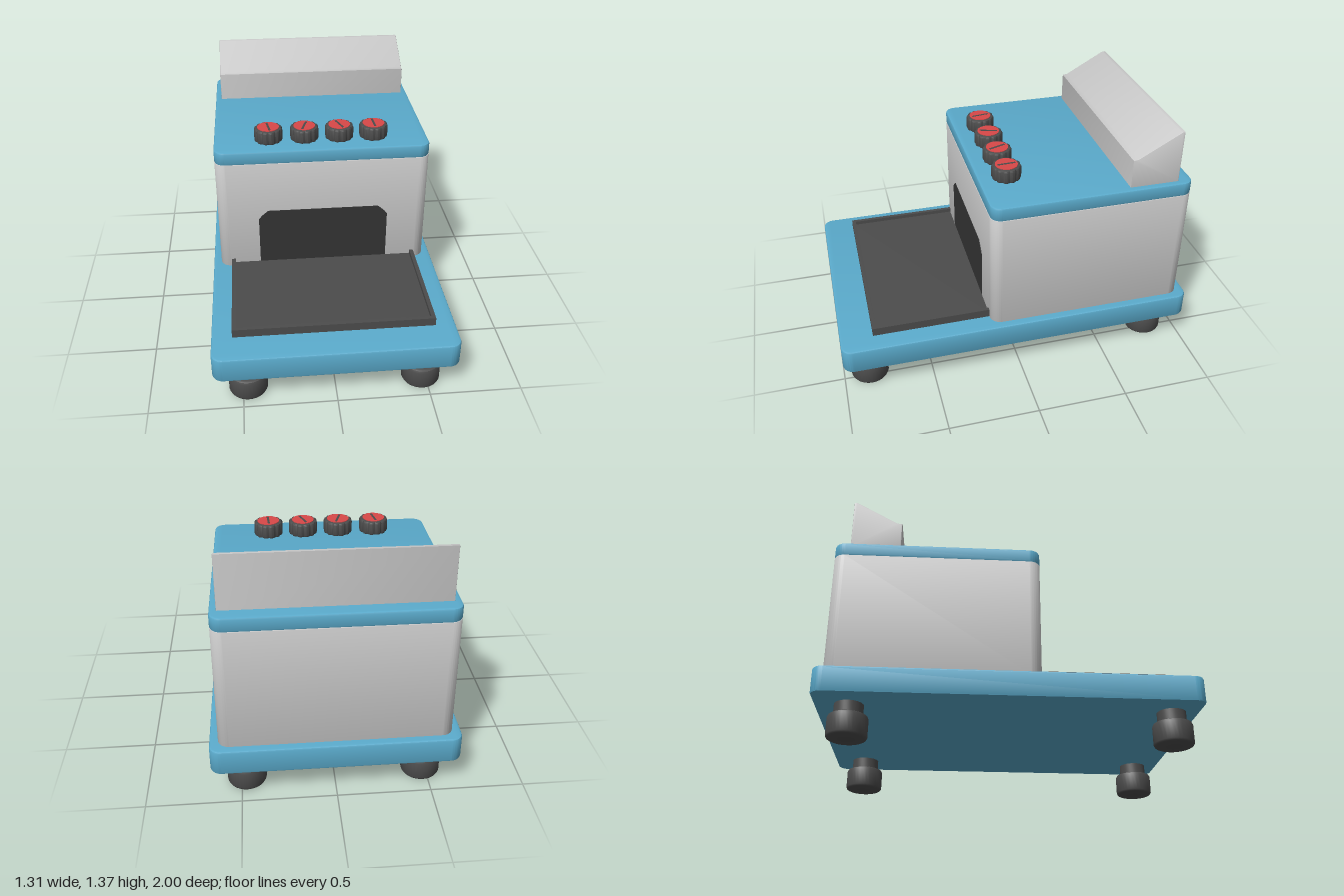
import * as THREE from 'three';
import { toCreasedNormals } from 'three/addons/utils/BufferGeometryUtils.js';

const mat = (name, color) => {
  const m = new THREE.MeshStandardMaterial({ color });
  m.name = name;
  return m;
};

// Rectangle with rounded corners, centred on the origin
function roundedRect(w, d, r) {
  const s = new THREE.Shape();
  const x = w / 2 - r, y = d / 2 - r;
  s.absarc(x, y, r, 0, Math.PI / 2);
  s.absarc(-x, y, r, Math.PI / 2, Math.PI);
  s.absarc(-x, -y, r, Math.PI, Math.PI * 1.5);
  s.absarc(x, -y, r, Math.PI * 1.5, Math.PI * 2);
  s.closePath();
  return s;
}

// Extrude with a small inward bevel, keeping the outline's outer size
function bevelled(shape, depth, bevel) {
  const geo = new THREE.ExtrudeGeometry(shape, {
    depth: depth - 2 * bevel, bevelEnabled: true, bevelThickness: bevel,
    bevelSize: bevel, bevelOffset: -bevel, bevelSegments: 2, curveSegments: 8,
  });
  return toCreasedNormals(geo.translate(0, 0, bevel), 0.6);
}

// Upright slab from y0 to y1
function slab(shape, y0, y1, bevel) {
  return bevelled(shape, y1 - y0, bevel).rotateX(-Math.PI / 2).translate(0, y0, 0);
}

export function createModel() {
  const model = new THREE.Group();
  const blue = mat('blue enamel', 0x5aaacb);
  const grey = mat('light grey', 0xcacaca);
  const dark = mat('dark rubber', 0x4c4c4c);
  const black = mat('opening black', 0x343434);
  const red = mat('red cap', 0xd84848);

  const add = (name, geo, material, x = 0, y = 0, z = 0, parent = model) => {
    const mesh = new THREE.Mesh(geo, material);
    mesh.name = name;
    mesh.position.set(x, y, z);
    parent.add(mesh);
    return mesh;
  };

  // Base, body and lid
  add('base', slab(roundedRect(1.31, 2, 0.06), 0.185, 0.325, 0.01), blue);
  add('body', slab(roundedRect(1.22, 1.12, 0.06), 0.32, 1.0, 0.002), grey, 0, 0, -0.395);
  add('lid', slab(roundedRect(1.22, 1.12, 0.06), 0.998, 1.075, 0.01), blue, 0, 0, -0.395);

  // Sloped console at the back of the lid
  const side = new THREE.Shape([
    [-0.875, 1.07], [-0.6, 1.07], [-0.6, 1.237], [-0.628, 1.24], [-0.858, 1.368], [-0.875, 1.368],
  ].map(([z, y]) => new THREE.Vector2(z, y)));
  add('console', bevelled(side, 1.15, 0.006).rotateY(-Math.PI / 2), grey, 0.575);

  // Opening in the front wall, a thin plate with cut corners
  const door = new THREE.Shape([
    [-0.375, 0.325], [0.375, 0.325], [0.375, 0.64], [0.357, 0.663], [0.32, 0.695],
    [-0.32, 0.695], [-0.357, 0.663], [-0.375, 0.64],
  ].map(([x, y]) => new THREE.Vector2(x, y)));
  add('opening', new THREE.ExtrudeGeometry(door, { depth: 0.006, bevelEnabled: false }), black, 0, 0, 0.162);

  // Tray with a raised rim on three sides
  const tray = new THREE.Group();
  tray.name = 'tray';
  model.add(tray);
  add('trayFloor', new THREE.BoxGeometry(1.08, 0.025, 0.65), dark, 0, 0.3375, 0.493, tray);
  for (const s of [-1, 1]) {
    add('traySideRim', new THREE.BoxGeometry(0.022, 0.047, 0.655), dark, s * 0.534, 0.3485, 0.4925, tray);
  }
  add('trayFrontRim', new THREE.BoxGeometry(1.046, 0.047, 0.022), dark, 0, 0.3485, 0.809, tray);

  // Stepped round feet
  const footProfile = [
    [0, 0], [0.09, 0], [0.1, 0.005], [0.105, 0.015], [0.105, 0.108], [0.1, 0.12],
    [0.09, 0.125], [0.076, 0.125], [0.076, 0.19],
  ].map(([r, y]) => new THREE.Vector2(r, y));
  const footGeo = toCreasedNormals(new THREE.LatheGeometry(footProfile, 32), 0.7);
  for (const x of [-0.472, 0.472]) {
    for (const z of [0.852, -0.82]) add('foot', footGeo, dark, x, 0, z);
  }

  // Knobs with grip ridges and a red cap carrying a pointer
  const grip = new THREE.Shape();
  for (let i = 0; i < 72; i++) {
    const a = (i / 72) * Math.PI * 2;
    const r = 0.081 - 0.006 * Math.max(0, Math.cos(a * 12));
    grip[i ? 'lineTo' : 'moveTo'](r * Math.cos(a), r * Math.sin(a));
  }
  grip.closePath();
  const gripGeo = slab(grip, 0, 0.08, 0.012);
  const capGeo = new THREE.CylinderGeometry(0.062, 0.062, 0.006, 32);
  const pointerGeo = new THREE.BoxGeometry(0.012, 0.004, 0.1);
  [-0.3, -0.095, 0.105, 0.302].forEach((x, i) => {
    const knob = new THREE.Group();
    knob.name = 'knob';
    knob.position.set(x, 1.073, 0.008);
    model.add(knob);
    add('knobGrip', gripGeo, dark, 0, 0, 0, knob);
    add('knobCap', capGeo, red, 0, 0.08, 0, knob);
    add('knobPointer', pointerGeo, dark, 0, 0.082, 0, knob).rotation.y = [0.15, -0.3, 0.35, 0.05][i];
  });

  return model;
}
